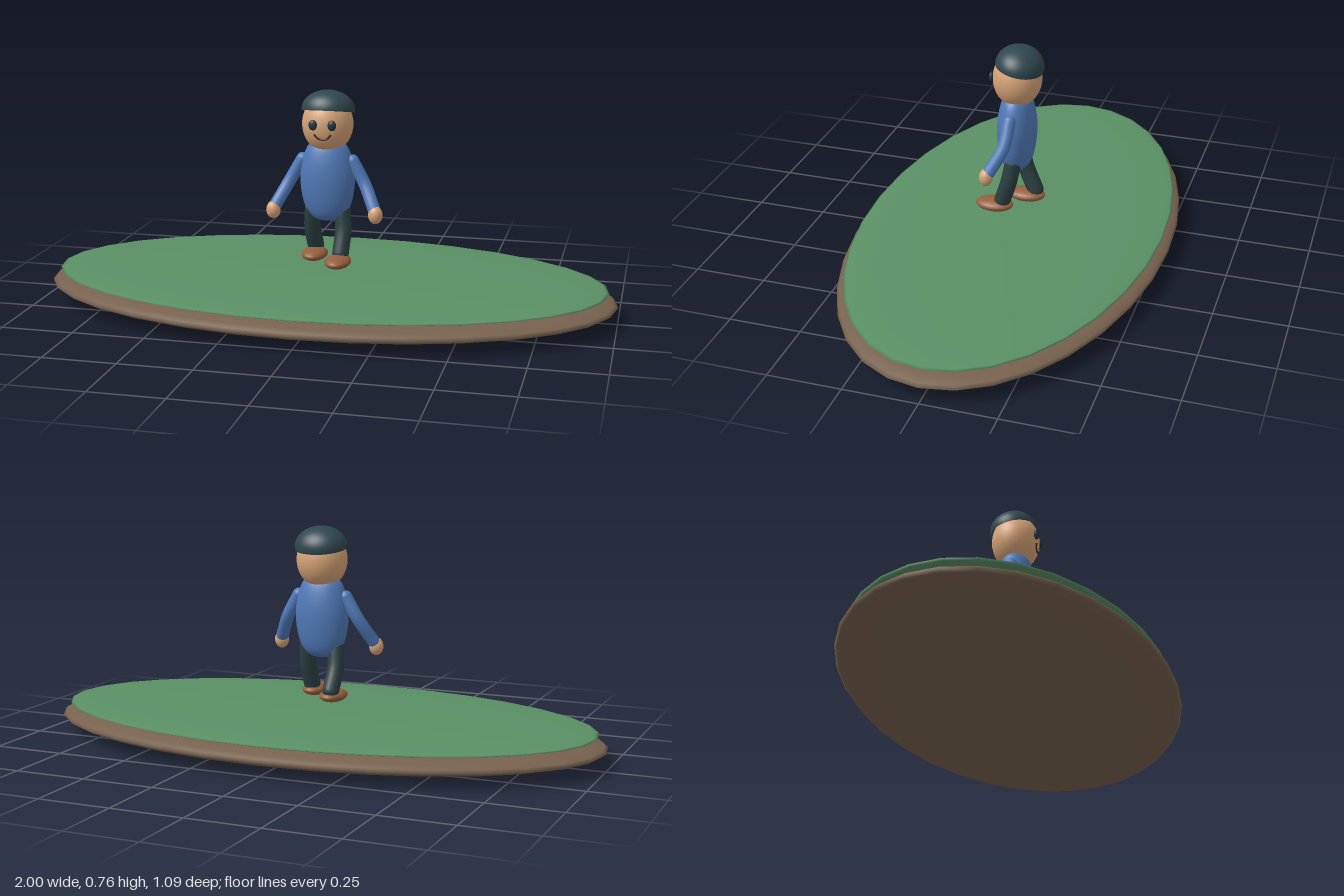
import * as THREE from 'three';

const mat = (name, color) => Object.assign(new THREE.MeshStandardMaterial({ color }), { name });

export function createModel() {
  const grass = mat('grass green', 0x5a9065);
  const soil = mat('soil brown', 0x78624f);
  const skin = mat('skin', 0xd6a377);
  const shirt = mat('shirt blue', 0x5079b8);
  const trousers = mat('trouser dark teal', 0x2c3f42);
  const hair = mat('cap slate', 0x2f474e);
  const leather = mat('shoe brown', 0x965f3c);
  const eyeDark = mat('eye dark', 0x22343d);
  const mouthDark = mat('mouth dark', 0x4a2c22);

  const model = new THREE.Group();
  model.name = 'walkingFigureOnIsland';

  const add = (name, geometry, material, x = 0, y = 0, z = 0) => {
    const mesh = new THREE.Mesh(geometry, material);
    mesh.name = name;
    mesh.position.set(x, y, z);
    model.add(mesh);
    return mesh;
  };
  const ellipsoid = (name, material, pos, radii, w = 32, h = 20) =>
    add(name, new THREE.SphereGeometry(1, w, h).scale(...radii), material, ...pos);
  // Rounded limb: tube along a curve with a ball closing each end
  const limb = (name, material, points, radius) => {
    const path = new THREE.CatmullRomCurve3(points.map(p => new THREE.Vector3(...p)));
    add(name, new THREE.TubeGeometry(path, 20, radius, 16), material);
    for (const p of [points[0], points[points.length - 1]])
      ellipsoid(name + 'End', material, p, [radius, radius, radius], 16, 12);
  };

  // Ground: soil lens with a thinner grass lens on top
  ellipsoid('soilBase', soil, [0, 0.06, 0], [1, 0.058, 0.545]);
  ellipsoid('grassTop', grass, [0, 0.105, 0], [0.97, 0.018, 0.522]);

  // Torso: egg-shaped profile, flattened front to back
  const profile = [[0, 0.305], [0.04, 0.312], [0.068, 0.335], [0.086, 0.38], [0.095, 0.44],
    [0.093, 0.49], [0.083, 0.535], [0.067, 0.57], [0.04, 0.59], [0, 0.597]]
    .map(p => new THREE.Vector2(...p));
  const smooth = new THREE.SplineCurve(profile).getPoints(36);
  smooth.forEach(p => { p.x = Math.max(p.x, 0); });
  add('torso', new THREE.LatheGeometry(smooth, 32).scale(1, 1, 0.7), shirt);

  // Head and a close-fitting cap tilted backwards
  ellipsoid('head', skin, [0, 0.645, -0.001], [0.088, 0.1, 0.084]);
  const capGeo = new THREE.SphereGeometry(1, 32, 14, 0, Math.PI * 2, 0, Math.PI * 0.53)
    .scale(0.092, 0.068, 0.083);
  hair.side = THREE.DoubleSide;
  add('cap', capGeo, hair, 0, 0.692, -0.009).rotation.x = -0.2;

  // Smile: lower arc of a thin ring
  const smile = new THREE.TorusGeometry(0.03, 0.0035, 8, 20, Math.PI * 0.8).rotateZ(Math.PI * 1.1);
  add('mouth', smile, mouthDark, 0, 0.632, 0.081).rotation.x = 0.2;

  for (const side of [1, -1]) {
    const tag = side > 0 ? 'left' : 'right';
    ellipsoid(tag + 'Eye', eyeDark, [side * 0.033, 0.653, 0.08], [0.015, 0.018, 0.009], 16, 12);

    // Arm bends forward at the elbow and ends in a hand
    limb(tag + 'Arm', shirt, [[side * 0.088, 0.52, 0.001], [side * 0.132, 0.442, 0.008],
      [side * 0.172, 0.365, 0.046]], 0.022);
    ellipsoid(tag + 'Hand', skin, [side * 0.179, 0.347, 0.055], [0.025, 0.031, 0.024], 20, 14);

    // Stride: left leg forward, right leg back
    const ankle = side > 0 ? 0.037 : -0.05;
    limb(tag + 'Leg', trousers, [[side * 0.052, 0.345, 0], [side * 0.058, 0.275, ankle * 0.35],
      [side * 0.054, 0.2, ankle]], 0.029);
    ellipsoid(tag + 'Shoe', leather, [side * 0.051, 0.179, side > 0 ? 0.067 : -0.019],
      [0.045, 0.022, 0.067], 24, 14);
  }
  return model;
}
